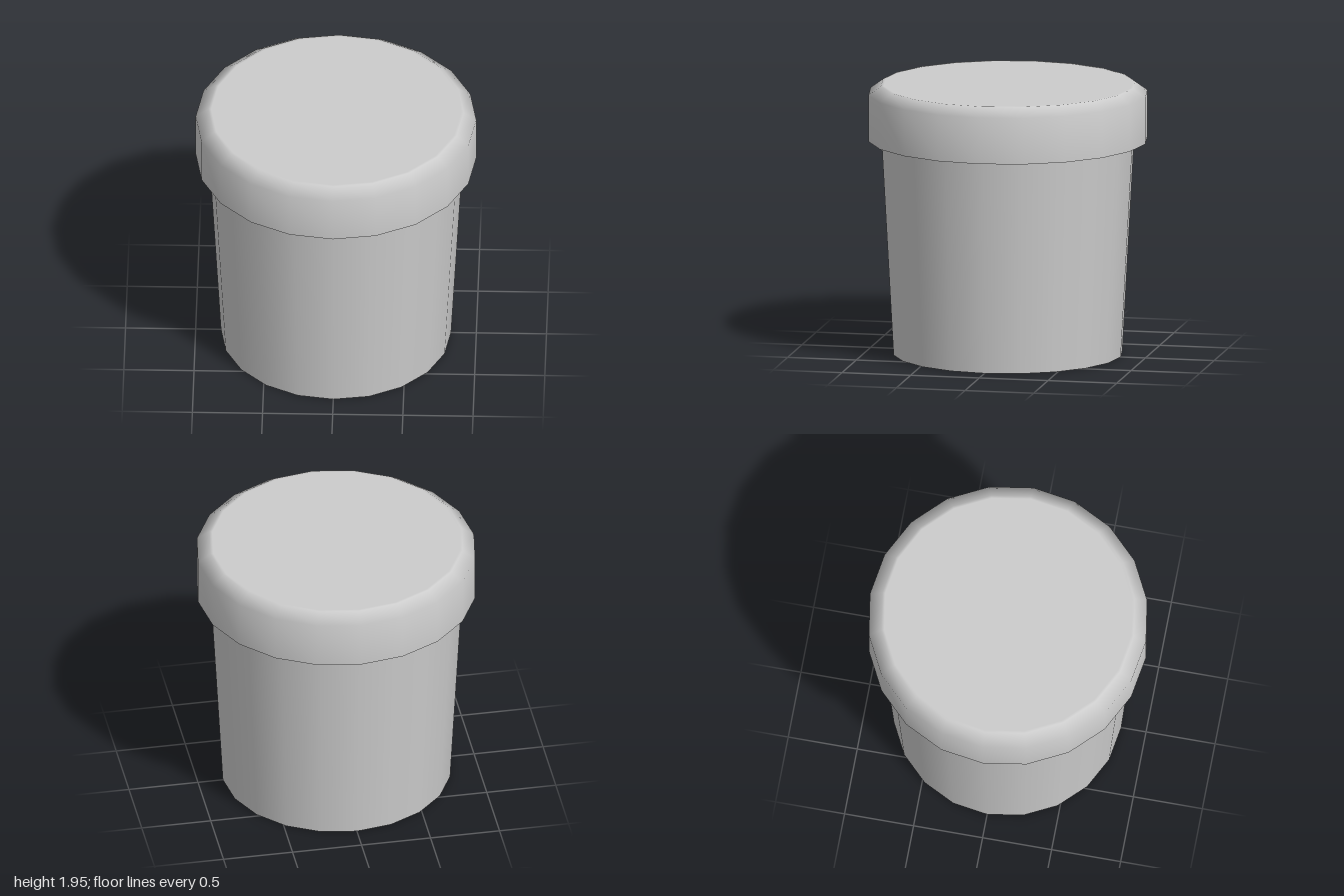
import * as THREE from 'three';

const SIDES = 20;
const BODY_TOP = 1.55;   // where the lid starts
const LID_TOP = 1.95;

export function createModel() {
  const group = new THREE.Group();
  const material = new THREE.MeshStandardMaterial({ color: 0xcccccc });
  const add = (name, geometry, y = 0) => {
    const mesh = new THREE.Mesh(geometry, material);
    mesh.name = name;
    mesh.position.y = y;
    group.add(mesh);
    return mesh;
  };

  // Tapered tub wall
  add('tubWall', new THREE.CylinderGeometry(0.905, 0.82, BODY_TOP, SIDES, 1, true), BODY_TOP / 2);

  // Flat base, facing down
  add('tubBase', new THREE.CircleGeometry(0.82, SIDES).rotateX(Math.PI / 2));

  // Lid with a bevelled shoulder; the extra loop near the top rim keeps the cap flat
  const lidProfile = [
    [1, BODY_TOP], [1, 1.885], [0.91, LID_TOP], [0.89, LID_TOP], [0, LID_TOP],
  ].map(([r, y]) => new THREE.Vector2(r, y));
  add('lid', new THREE.LatheGeometry(lidProfile, SIDES));

  // Underside of the lid's overhang
  add('lidUnderside', new THREE.RingGeometry(0.905, 1, SIDES).rotateX(Math.PI / 2), BODY_TOP);

  return group;
}
